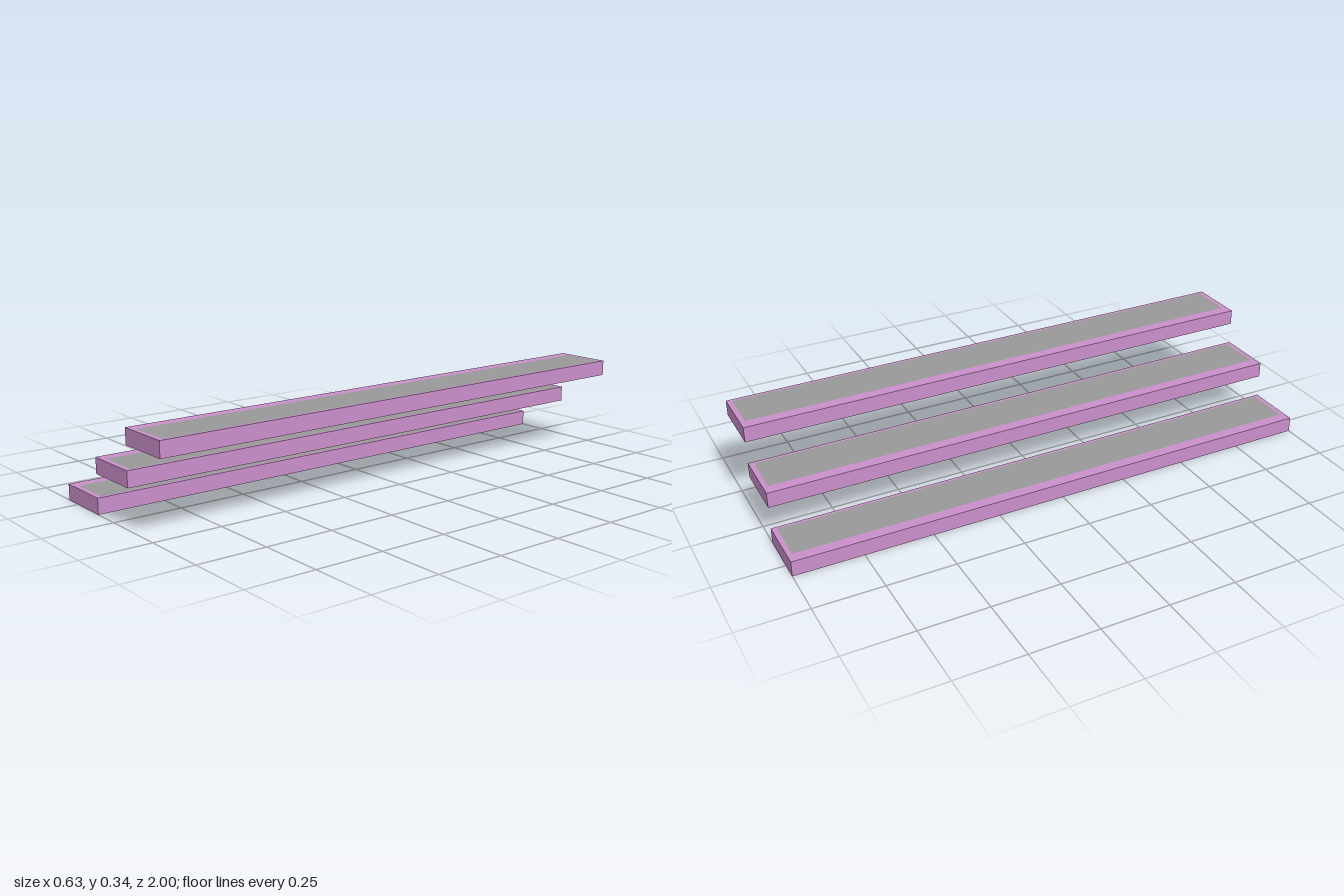
import * as THREE from 'three';

const W = 0.21, H = 0.057, L = 2, RISE = 0.14;
// Frame margins: wide lip on the low side, narrow elsewhere
const LIP = 0.041, BACK = 0.011, END = 0.018, PLATE = 0.003;

const frameColour = new THREE.MeshStandardMaterial({ color: 0xca8fca });
frameColour.name = 'mauve frame';
const panelColour = new THREE.MeshStandardMaterial({ color: 0x999999 });
panelColour.name = 'grey tread';

function rectangle(target, x0, x1, y0, y1) {
  target.moveTo(x0, y0);
  target.lineTo(x1, y0);
  target.lineTo(x1, y1);
  target.lineTo(x0, y1);
  target.closePath();
  return target;
}

// Rectangular frame, open underneath
function frameGeometry() {
  const shape = rectangle(new THREE.Shape(), -W / 2, W / 2, -L / 2, L / 2);
  shape.holes.push(rectangle(new THREE.Path(), -W / 2 + LIP, W / 2 - BACK, -L / 2 + END, L / 2 - END));
  const geometry = new THREE.ExtrudeGeometry(shape, { depth: H, bevelEnabled: false });
  return geometry.rotateX(-Math.PI / 2);
}

// Thin tread plate, flush with the top of the frame
function treadGeometry() {
  const geometry = new THREE.BoxGeometry(W - LIP - BACK, PLATE, L - 2 * END);
  return geometry.translate((LIP - BACK) / 2, H - PLATE / 2, 0);
}

export function createModel() {
  const model = new THREE.Group();
  model.name = 'steps';
  const frame = frameGeometry();
  const tread = treadGeometry();
  // Three floating steps climbing towards +x
  for (let i = 0; i < 3; i++) {
    const step = new THREE.Group();
    step.name = 'step' + (i + 1);
    const frameMesh = new THREE.Mesh(frame, frameColour);
    frameMesh.name = 'stepFrame';
    const treadMesh = new THREE.Mesh(tread, panelColour);
    treadMesh.name = 'stepTread';
    step.add(frameMesh, treadMesh);
    step.position.set((i - 1) * W, i * RISE, 0);
    model.add(step);
  }
  return model;
}
